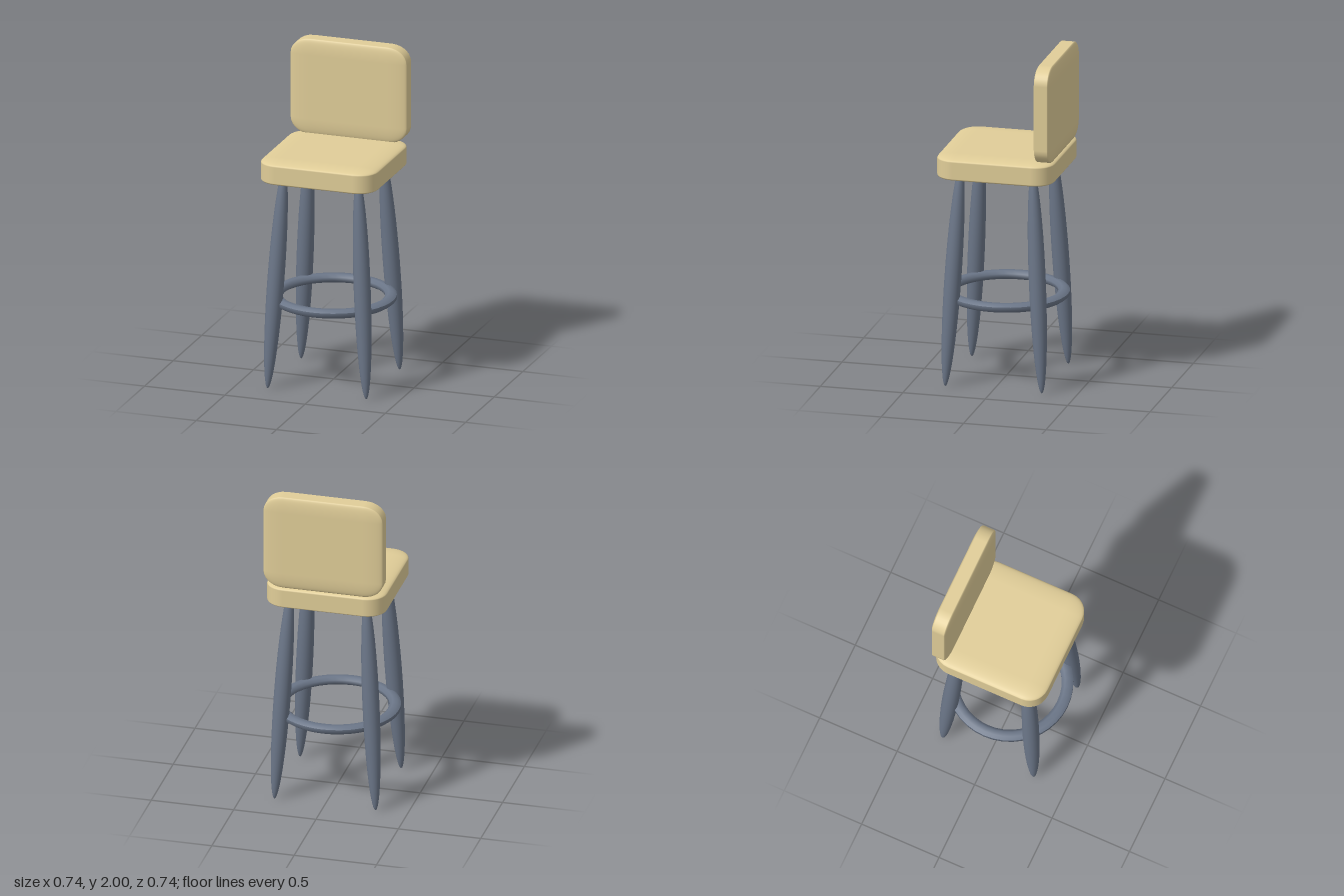
import * as THREE from 'three';
import { RoundedBoxGeometry } from 'three/addons/geometries/RoundedBoxGeometry.js';

export function createModel() {
  const stool = new THREE.Group();
  stool.name = 'barStool';
  const padding = new THREE.MeshStandardMaterial({ color: 0xe0cd98 });
  const metal = new THREE.MeshStandardMaterial({ color: 0x6b7688 });

  function add(name, geometry, material, x, y, z) {
    const mesh = new THREE.Mesh(geometry, material);
    mesh.name = name;
    mesh.position.set(x, y, z);
    stool.add(mesh);
    return mesh;
  }

  // A rounded cube squashed to size, so the broad faces are softly pillowed
  function cushion(width, height, depth) {
    return new RoundedBoxGeometry(1, 1, 1, 4, 0.166).scale(width, height, depth);
  }
  add('seat', cushion(0.725, 0.15, 0.71), padding, 0, 1.345, 0);
  add('backrest', cushion(0.725, 0.59, 0.11), padding, 0, 1.705, -0.3);

  // Four splayed, spindle-shaped legs
  const up = new THREE.Vector3(0, 1, 0);
  const legGeometry = new THREE.SphereGeometry(1, 20, 24).scale(0.05, 0.675, 0.05);
  for (const sx of [-1, 1]) {
    for (const sz of [-1, 1]) {
      const foot = new THREE.Vector3(0.307 * sx, 0.005, 0.293 * sz);
      const top = new THREE.Vector3(0.23 * sx, 1.35, 0.218 * sz);
      const name = (sz > 0 ? 'front' : 'back') + (sx > 0 ? 'Left' : 'Right') + 'Leg';
      const centre = foot.clone().lerp(top, 0.5);
      const leg = add(name, legGeometry, metal, centre.x, centre.y, centre.z);
      leg.quaternion.setFromUnitVectors(up, top.sub(foot).normalize());
    }
  }

  // Footrest ring with a slightly flattened eight-sided section
  const section = [];
  for (let i = 0; i <= 8; i++) {
    const a = ((i + 0.5) / 8) * Math.PI * 2;
    section.push(new THREE.Vector2(0.337 + 0.037 * Math.cos(a), 0.028 * Math.sin(a)));
  }
  add('footrestRing', new THREE.LatheGeometry(section, 40), metal, 0, 0.52, 0);

  return stool;
}
